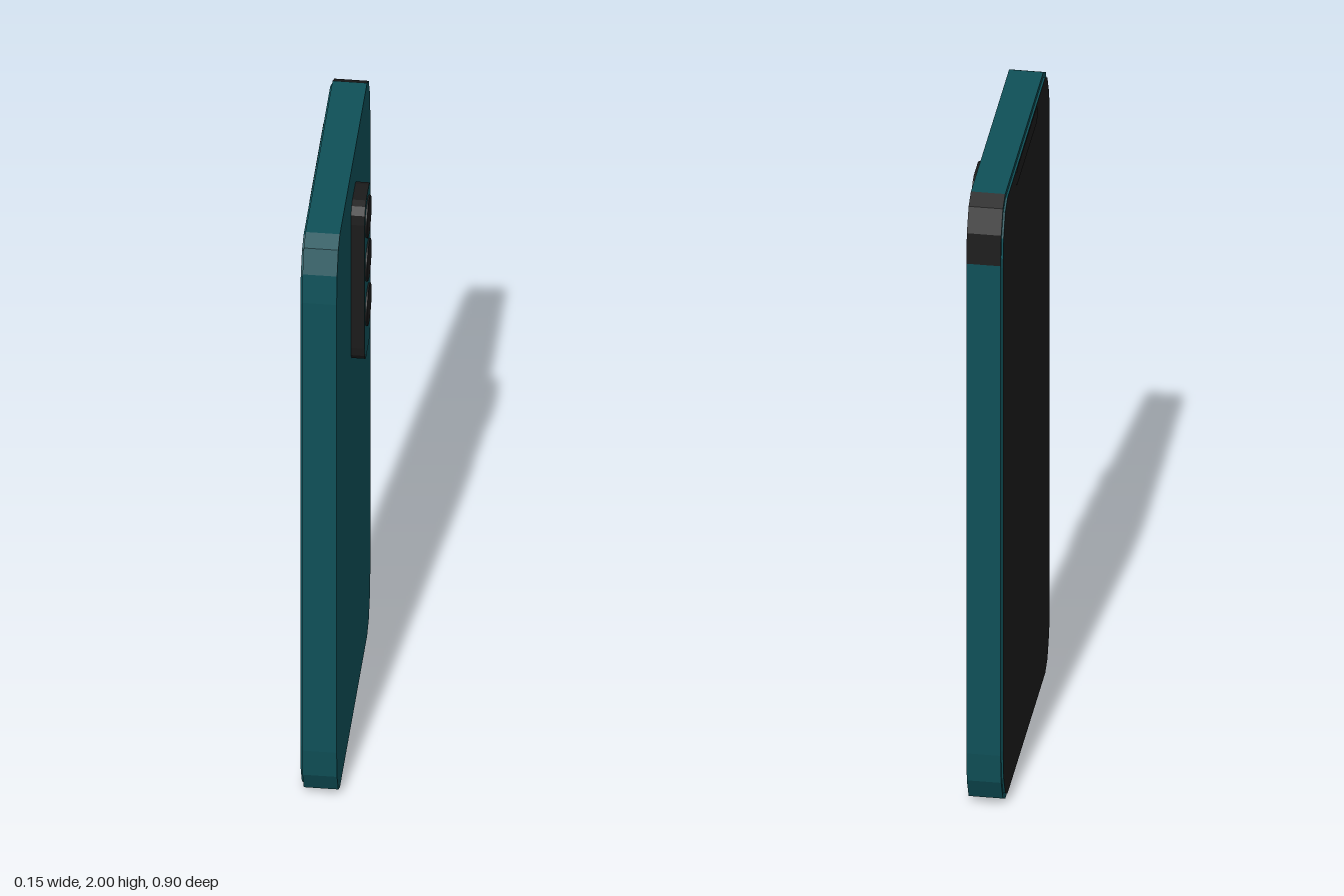
import * as THREE from 'three';

const teal = new THREE.MeshStandardMaterial({ color: 0x0f5058 });
const black = new THREE.MeshStandardMaterial({ color: 0x1b1b1b });

// Rounded rectangle with three-facet corners; a..b across, c..d up.
// Corner steps are fractions of the corner width w and height h.
const STEPS = [[0, 1], [0.12, 0.5], [0.5, 0.13], [1, 0]];
function panelShape(a, b, c, d, w, h) {
  const pts = [];
  const corner = (x, y, sx, sy, reverse) => {
    const run = STEPS.map(([u, v]) => new THREE.Vector2(x + sx * u * w, y + sy * v * h));
    pts.push(...(reverse ? run.reverse() : run));
  };
  corner(b, c, -1, 1, true);
  corner(b, d, -1, -1, false);
  corner(a, d, 1, -1, true);
  corner(a, c, 1, 1, false);
  return new THREE.Shape(pts);
}

// Extrude a shape along x from x0 to x1 (shape's horizontal axis becomes -z).
function slab(shape, x0, x1) {
  return new THREE.ExtrudeGeometry(shape, { depth: x1 - x0, bevelEnabled: false })
    .rotateY(Math.PI / 2).translate(x0, 0, 0);
}

// Give the sides of the upper rear corner their own material slot.
function markCorner(geometry) {
  const pos = geometry.attributes.position;
  const side = geometry.groups.find((g) => g.materialIndex === 1);
  geometry.groups = geometry.groups.filter((g) => g !== side);
  for (let i = side.start; i < side.start + side.count; i += 3) {
    const y = (pos.getY(i) + pos.getY(i + 1) + pos.getY(i + 2)) / 3;
    const z = (pos.getZ(i) + pos.getZ(i + 1) + pos.getZ(i + 2)) / 3;
    geometry.addGroup(i, 3, z < -0.361 && y > 1.811 ? 2 : 1);
  }
  return geometry;
}

export function createModel() {
  const group = new THREE.Group();
  const add = (name, geometry, material) => {
    const mesh = new THREE.Mesh(geometry, material);
    mesh.name = name;
    group.add(mesh);
  };

  // Case with a dark upper corner
  const body = markCorner(slab(panelShape(-0.45, 0.45, 0, 2, 0.088, 0.19), -0.07, 0.03));
  add('body', body, [teal, teal, black]);

  // Display glass with a body-coloured rim
  add('screen', slab(panelShape(-0.442, 0.442, 0.015, 1.985, 0.085, 0.185), -0.076, -0.07), [black, teal]);

  // Earpiece strip along the top of the display
  add('earpiece', slab(panelShape(-0.2, 0.19, 1.93, 1.982, 0.01, 0.01), -0.077, -0.076), black);

  // Camera bump: body-coloured face, dark walls
  add('cameraBump', slab(panelShape(-0.072, 0.088, 1.31, 1.875, 0.042, 0.06), 0.03, 0.07), [teal, black]);

  // Three lenses
  for (const y of [1.79, 1.633, 1.473]) {
    const lens = new THREE.CylinderGeometry(0.063, 0.063, 0.015, 32)
      .rotateZ(-Math.PI / 2).translate(0.0675, y, -0.006);
    add('cameraLens', lens, black);
  }
  return group;
}
